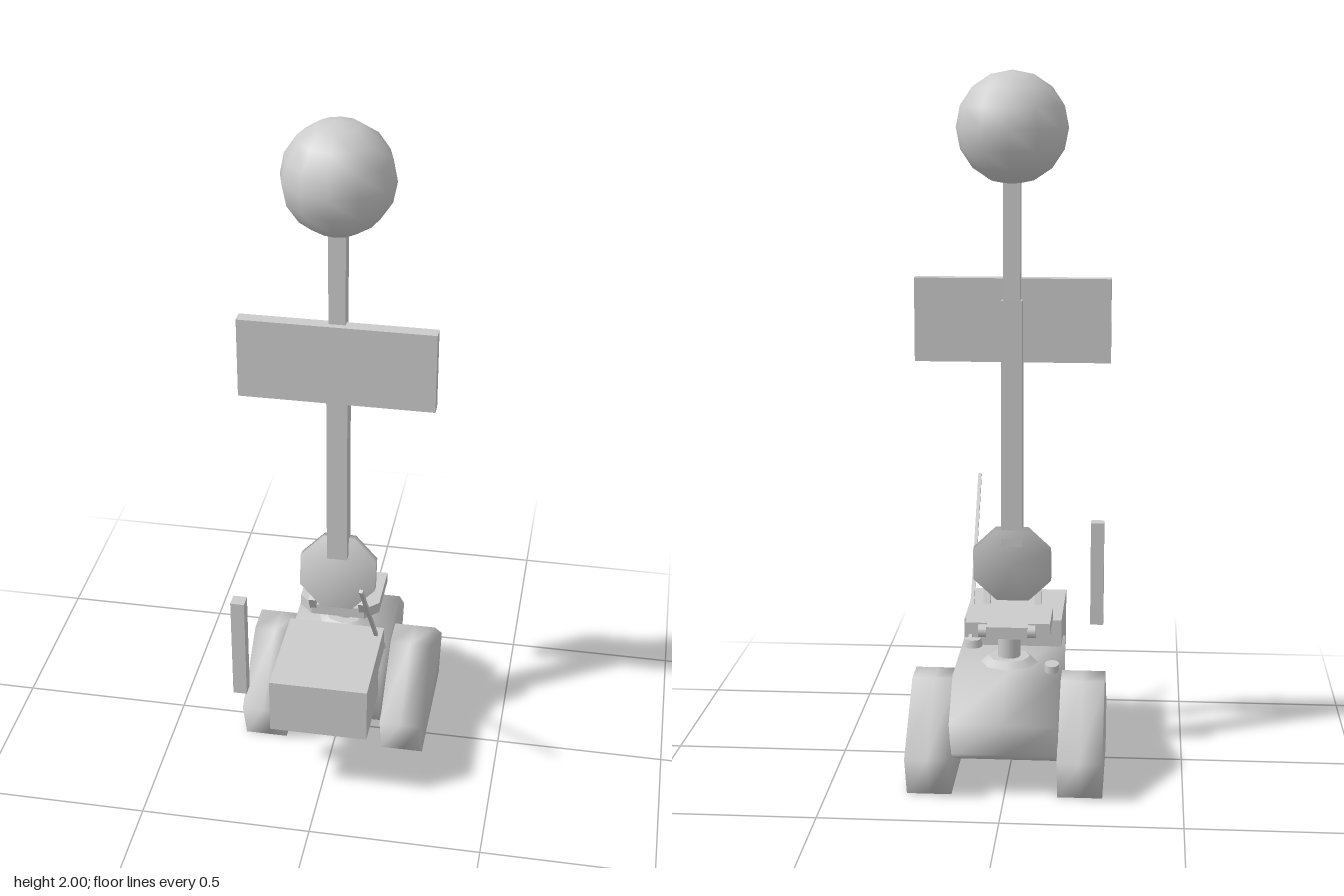
import * as THREE from 'three';
import { mergeVertices } from 'three/addons/utils/BufferGeometryUtils.js';

export function createModel() {
  const model = new THREE.Group();
  model.name = 'roadSignTractor';
  const grey = new THREE.MeshStandardMaterial({ color: 0xcccccc });
  grey.name = 'light grey';

  const add = (name, geometry, x = 0, y = 0, z = 0) => {
    const mesh = new THREE.Mesh(geometry, grey);
    mesh.name = name;
    mesh.position.set(x, y, z);
    model.add(mesh);
    return mesh;
  };

  // Box given by its lower and upper limits
  const box = (name, [x0, x1], [y0, y1], [z0, z1]) =>
    add(name, new THREE.BoxGeometry(x1 - x0, y1 - y0, z1 - z0),
      (x0 + x1) / 2, (y0 + y1) / 2, (z0 + z1) / 2);

  // Share vertices so that shading runs softly over the edges
  const soften = (geometry) => {
    geometry.deleteAttribute('normal');
    geometry.deleteAttribute('uv');
    const merged = mergeVertices(geometry, 1e-4);
    merged.computeVertexNormals();
    return merged;
  };

  // Side profile of [z, y] points, given a width along x
  const profile = (points, width) => {
    const shape = new THREE.Shape(points.map(([z, y]) => new THREE.Vector2(z, y)));
    const g = new THREE.ExtrudeGeometry(shape, { depth: width, steps: 2, bevelEnabled: false });
    g.translate(0, 0, -width / 2);
    g.rotateY(-Math.PI / 2);
    return soften(g);
  };

  // Straight bar between two points
  const bar = (name, from, to, w, d) => {
    const a = new THREE.Vector3(...from), b = new THREE.Vector3(...to);
    const mesh = add(name, new THREE.BoxGeometry(w, a.distanceTo(b), d));
    mesh.position.lerpVectors(a, b, 0.5);
    mesh.quaternion.setFromUnitVectors(new THREE.Vector3(0, 1, 0), b.sub(a).normalize());
  };

  // Lower machine: body, two track units and front box
  add('body', profile([
    [0.135, 0.33], [0.135, 0.17], [0.06, 0.08], [-0.24, 0.08],
    [-0.31, 0.12], [-0.36, 0.225], [-0.25, 0.33],
  ], 0.3));
  const track = profile([
    [0.135, 0.13], [0.09, 0], [-0.31, 0], [-0.362, 0.12], [-0.16, 0.29], [-0.065, 0.29],
  ], 0.126);
  for (const side of [-1, 1]) add(side > 0 ? 'leftTrack' : 'rightTrack', track, side * 0.212);
  box('frontBox', [-0.143, 0.143], [0.24, 0.41], [0.03, 0.348]);

  // Upright block, control lever and small fittings
  box('sideBlock', [-0.26, -0.22], [0.325, 0.645], [0.265, 0.305]);
  bar('lever', [0.125, 0.35, 0.02], [0.125, 0.772, 0.357], 0.01, 0.01);
  add('leverBase', new THREE.CylinderGeometry(0.025, 0.03, 0.025, 8), 0.118, 0.34, 0.02);
  const cap = add('fillerCap', new THREE.CylinderGeometry(0.032, 0.032, 0.025, 10), -0.126, 0.338, -0.188);
  cap.scale.x = 0.65;

  // Seat on its pedestal
  add('pedestalBase', new THREE.CylinderGeometry(0.06, 0.085, 0.02, 8), 0, 0.338, -0.115);
  add('pedestal', new THREE.CylinderGeometry(0.032, 0.032, 0.09, 12), 0, 0.39, -0.115);
  const outline = [
    [-0.08, -0.02], [0.08, -0.02], [0.12, 0.02], [0.12, 0.18],
    [0.058, 0.18], [0.058, 0.22], [-0.058, 0.22], [-0.058, 0.18], [-0.12, 0.18], [-0.12, 0.02],
  ];
  const seat = new THREE.ExtrudeGeometry(
    new THREE.Shape(outline.map(([x, y]) => new THREE.Vector2(x, y))),
    { depth: 0.034, bevelEnabled: false });
  seat.rotateX(-Math.PI / 2);
  add('seat', seat, 0, 0.43, 0);

  // Seat hinges and backrest arms
  for (const side of [-1, 1]) {
    const hinge = new THREE.CylinderGeometry(0.018, 0.018, 0.024, 10);
    hinge.rotateZ(Math.PI / 2);
    add('seatHinge', hinge, side * 0.069, 0.447, -0.199);
    bar('backrestArm', [side * 0.075, 0.435, 0], [side * 0.075, 0.5, 0.035], 0.02, 0.02);
  }

  // Eight-sided tilted backrest
  const back = new THREE.CylinderGeometry(0.122, 0.122, 0.03, 8);
  back.rotateY(Math.PI / 8);
  back.rotateX(Math.PI / 2);
  add('backrest', soften(back), 0, 0.586, 0.008).rotation.x = -0.2;

  // Post, sign board and ball
  box('lowerPost', [-0.03, 0.03], [0.645, 1.36], [-0.024, 0.034]);
  box('upperPost', [-0.024, 0.024], [1.36, 1.72], [-0.018, 0.03]);
  box('signBoard', [-0.28, 0.28], [1.18, 1.42], [0.01, 0.048]);
  add('ball', new THREE.SphereGeometry(0.158, 12, 8), 0, 1.842, 0.004);

  return model;
}
